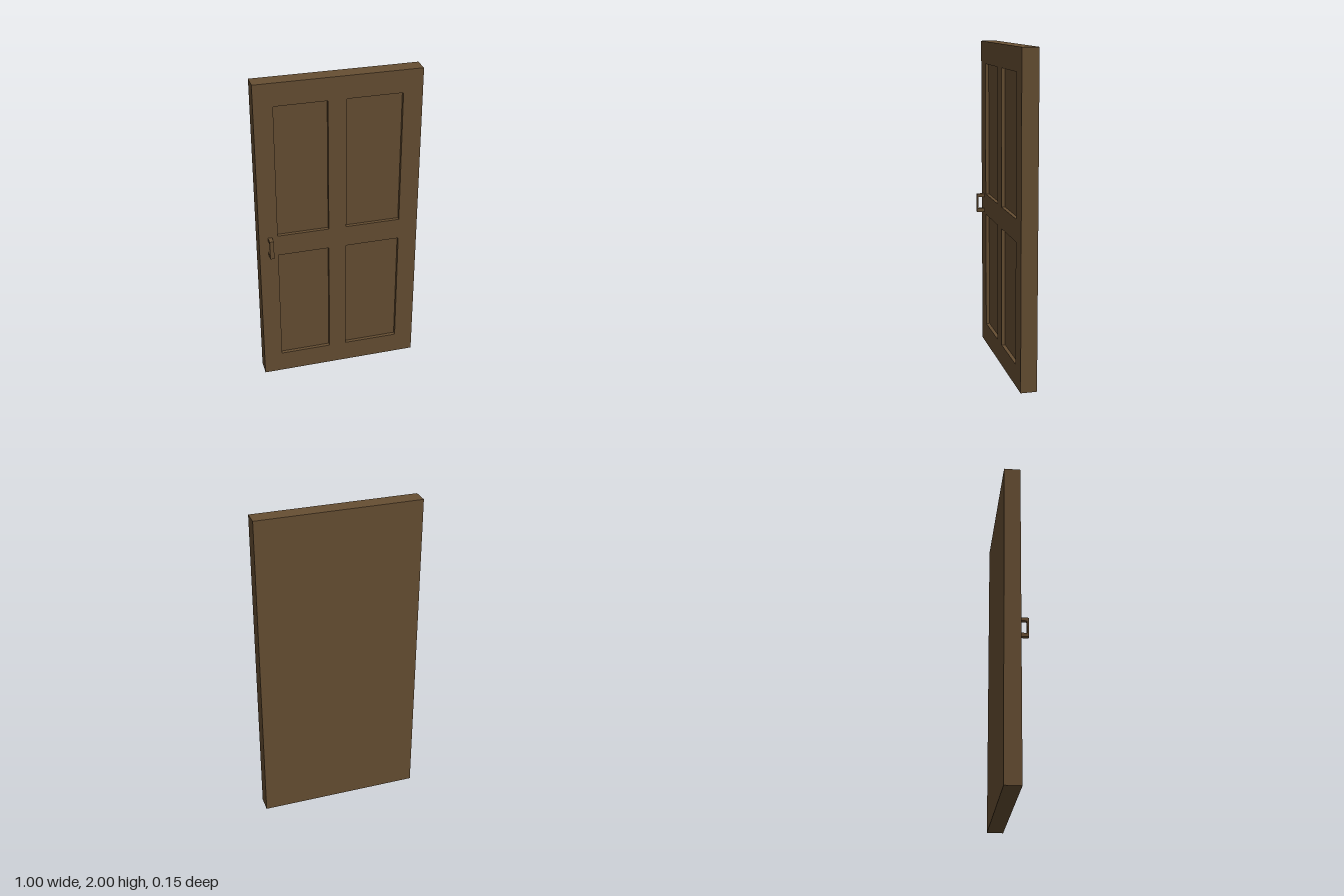
import * as THREE from 'three';

const WIDTH = 1, HEIGHT = 2;
const BACK = -0.075, FRONT = 0.025, RECESS = 0.022;

// Counter-clockwise rectangle as a list of points
const rect = (x0, y0, x1, y1) =>
  [[x0, y0], [x1, y0], [x1, y1], [x0, y1]].map(([x, y]) => new THREE.Vector2(x, y));

const extrude = (shape, depth) =>
  new THREE.ExtrudeGeometry(shape, { depth, bevelEnabled: false });

export function createModel() {
  const door = new THREE.Group();
  door.name = 'door';
  const wood = new THREE.MeshStandardMaterial({ color: 0x674f33 });

  const add = (name, geometry, x, y, z) => {
    const mesh = new THREE.Mesh(geometry, wood);
    mesh.name = name;
    mesh.position.set(x, y, z);
    door.add(mesh);
  };

  // Solid slab whose front forms the floor of the recessed panels
  const slabDepth = FRONT - RECESS - BACK;
  add('slab', new THREE.BoxGeometry(WIDTH, HEIGHT, slabDepth), 0, HEIGHT / 2, BACK + slabDepth / 2);

  // Stiles and rails: front layer with four panel openings
  const frame = new THREE.Shape(rect(-WIDTH / 2, 0, WIDTH / 2, HEIGHT));
  for (const [x0, x1] of [[-0.385, -0.067], [0.043, 0.382]]) {
    for (const [y0, y1] of [[0.135, 0.885], [1.02, 1.86]]) {
      frame.holes.push(new THREE.Path(rect(x0, y0, x1, y1).reverse()));
    }
  }
  add('panelFrame', extrude(frame, RECESS), 0, 0, FRONT - RECESS);

  // Pull handle: bracket profile drawn in depth and height, turned to face sideways
  const profile = [
    [0, 0], [0.05, 0], [0.05, 0.12], [0, 0.12],
    [0, 0.1], [0.04, 0.1], [0.04, 0.023], [0, 0.023],
  ].map(([z, y]) => new THREE.Vector2(z, y));
  const handle = extrude(new THREE.Shape(profile), 0.025).rotateY(-Math.PI / 2);
  add('handle', handle, -0.42, 0.895, FRONT);

  return door;
}
